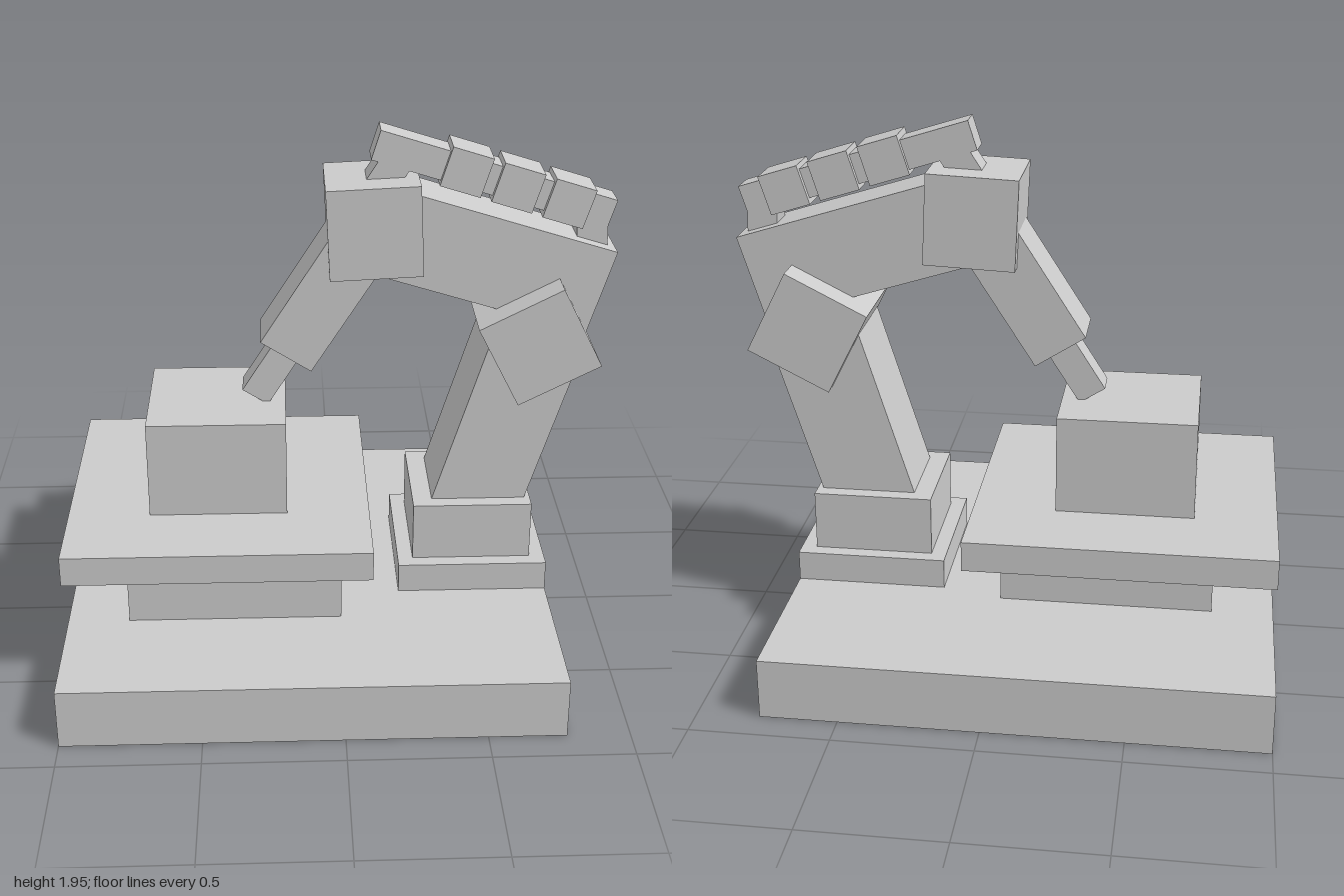
import * as THREE from 'three';

export function createModel() {
  const model = new THREE.Group();
  const material = new THREE.MeshStandardMaterial({ color: 0xcccccc, flatShading: true });

  // Box centred at (x, y), tilted in the front plane by an angle in degrees
  function block(name, x, y, w, h, d, angle = 0, z = 0) {
    const mesh = new THREE.Mesh(new THREE.BoxGeometry(w, h, d), material);
    mesh.name = name;
    mesh.position.set(x, y, z);
    mesh.rotation.z = THREE.MathUtils.degToRad(angle);
    model.add(mesh);
  }

  // Upright box given by its x, y and z ranges
  function slab(name, [x0, x1], [y0, y1], [z0, z1]) {
    block(name, (x0 + x1) / 2, (y0 + y1) / 2, x1 - x0, y1 - y0, z1 - z0, 0, (z0 + z1) / 2);
  }

  // Beam running between two points of the front plane
  function beam(name, [x0, y0], [x1, y1], w, d) {
    const dx = x1 - x0, dy = y1 - y0;
    const angle = THREE.MathUtils.radToDeg(Math.atan2(-dx, dy));
    block(name, (x0 + x1) / 2, (y0 + y1) / 2, w, Math.hypot(dx, dy), d, angle);
  }

  // Ground plate and work table
  slab('basePlate', [-1, 0.777], [0, 0.222], [-0.888, 0.888]);
  slab('tablePedestal', [-0.777, 0], [0.222, 0.444], [-0.333, 0.444]);
  slab('tableTop', [-1, 0.111], [0.444, 0.555], [-0.555, 0.555]);
  slab('workpiece', [-0.7, -0.193], [0.555, 0.92], [-0.254, 0.254]);

  // Stepped foot of the arm
  slab('footPlate', [0.222, 0.777], [0.222, 0.333], [-0.277, 0.277]);
  slab('footBlock', [0.278, 0.72], [0.333, 0.555], [-0.222, 0.222]);

  // Jointed arm
  beam('lowerArm', [0.493, 0.455], [0.722, 1.19], 0.333, 0.333);
  block('elbow', 0.722, 1.19, 0.333, 0.333, 0.444, 27);
  block('upperArm', 0.577, 1.469, 0.777, 0.327, 0.222, -17.2);
  block('wrist', 0.128, 1.608, 0.333, 0.333, 0.333, 2.6);
  beam('forearm', [-0.19, 1.122], [0.115, 1.598], 0.218, 0.222);
  beam('toolTip', [-0.305, 0.937], [-0.16, 1.164], 0.111, 0.111);

  // Cable conduit with clamps and end posts
  const slope = -17.4;
  block('conduit', 0.556, 1.765, 0.885, 0.111, 0.111, slope);
  for (let i = 0; i < 3; i++) {
    block('conduitClamp' + (i + 1), 0.4525 + i * 0.184, 1.801 - i * 0.06, 0.152, 0.148, 0.152, slope);
  }
  block('wristPost', 0.168, 1.775, 0.111, 0.16, 0.111, -32.6);
  block('shoulderPost', 0.911, 1.575, 0.111, 0.15, 0.111, 2);

  return model;
}
